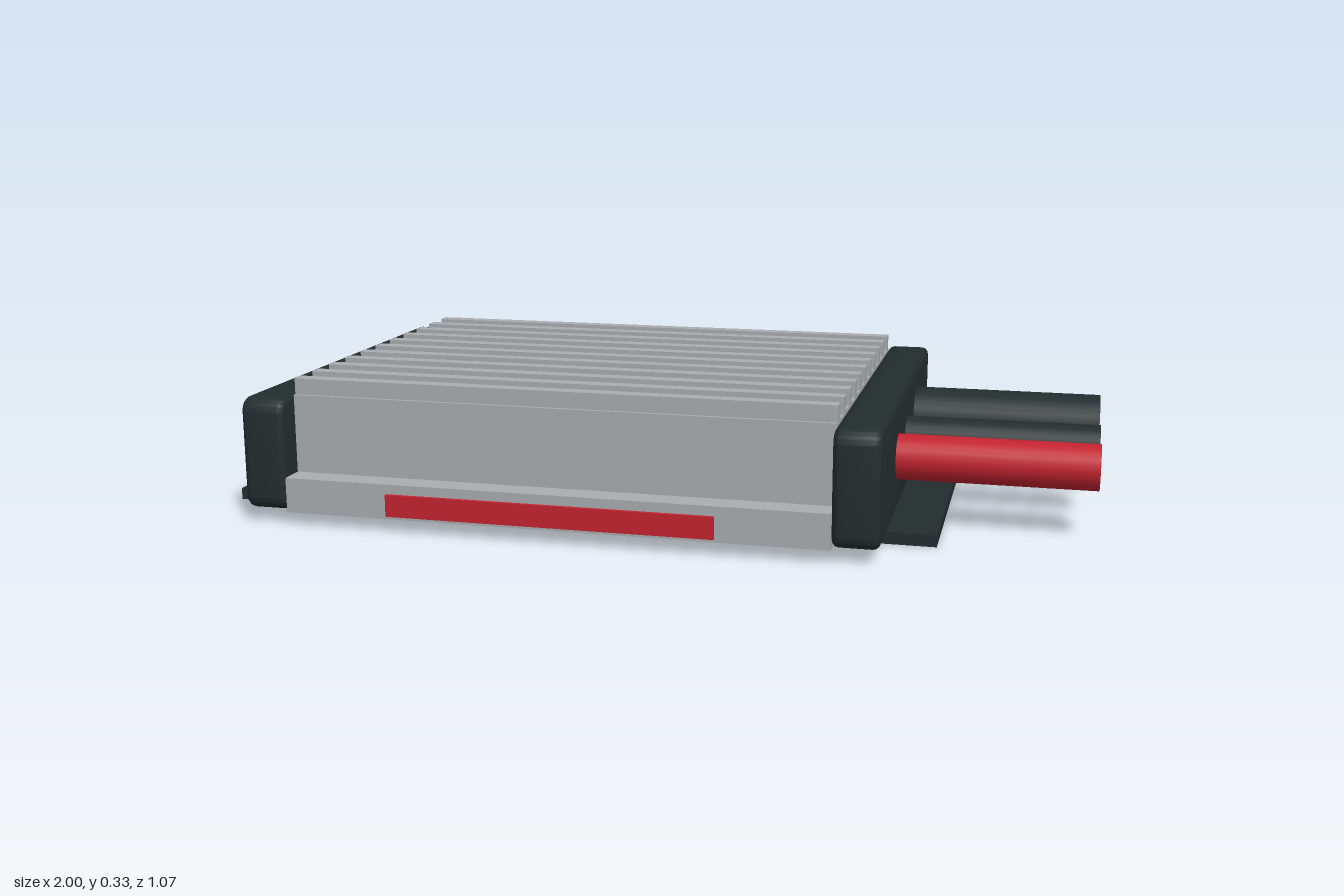
import * as THREE from 'three';
import { toCreasedNormals } from 'three/addons/utils/BufferGeometryUtils.js';

const material = (name, color) => {
  const m = new THREE.MeshStandardMaterial({ color });
  m.name = name;
  return m;
};

export function createModel() {
  const group = new THREE.Group();
  const aluminium = material('aluminium grey', 0xa9adb0);
  const black = material('dark plastic', 0x232d2e);
  const red = material('red', 0xc3232f);
  const midZ = -0.003;

  const add = (name, geometry, mat, x, y, z) => {
    const mesh = new THREE.Mesh(geometry, mat);
    mesh.name = name;
    mesh.position.set(x, y, z);
    group.add(mesh);
    return mesh;
  };
  // Box given by its limits on each axis
  const box = (name, mat, [x0, x1], [y0, y1], [z0, z1]) =>
    add(name, new THREE.BoxGeometry(x1 - x0, y1 - y0, z1 - z0), mat,
      (x0 + x1) / 2, (y0 + y1) / 2, (z0 + z1) / 2);

  // Finned housing on a wider base
  const span = [-0.79, 0.455];
  box('base', aluminium, span, [0.03, 0.11], [midZ - 0.528, midZ + 0.528]);
  box('housing', aluminium, span, [0.11, 0.29], [midZ - 0.467, midZ + 0.467]);
  for (let i = -5; i <= 5; i++) {
    const z = midZ + i * 0.0883;
    box('coolingFin', aluminium, span, [0.29, 0.327], [z - 0.017, z + 0.017]);
  }

  // End caps: rounded rectangle with softened rims
  const bevel = 0.015, w = 0.528 - bevel, h = 0.13 - bevel, r = 0.018;
  const outline = new THREE.Shape();
  outline.absarc(w - r, h - r, r, 0, Math.PI / 2);
  outline.absarc(-w + r, h - r, r, Math.PI / 2, Math.PI);
  outline.absarc(-w + r, -h + r, r, Math.PI, Math.PI * 1.5);
  outline.absarc(w - r, -h + r, r, Math.PI * 1.5, Math.PI * 2);
  outline.closePath();
  const capDepth = 0.102;
  const capGeometry = toCreasedNormals(new THREE.ExtrudeGeometry(outline, {
    depth: capDepth - 2 * bevel, bevelEnabled: true, bevelSize: bevel,
    bevelThickness: bevel, bevelSegments: 3, curveSegments: 4,
  }).translate(0, 0, -capDepth / 2 + bevel).rotateY(Math.PI / 2), 0.7);
  add('endCap', capGeometry, black, -0.842, 0.16, midZ);
  add('endCap', capGeometry, black, 0.505, 0.16, midZ);

  // Mounting feet under the caps
  box('mountingFoot', black, [-1, -0.865], [0, 0.027], [-0.355, 0.349]);
  box('mountingFoot', black, [0.525, 0.662], [0, 0.027], [-0.355, 0.349]);

  // Cables leaving the left end
  const cable = (name, mat, z, radius) => {
    const geometry = new THREE.CylinderGeometry(radius, radius, 0.46, 24).rotateZ(-Math.PI / 2);
    add(name, geometry, mat, 0.77, 0.16, z);
  };
  cable('redCable', red, 0.191, 0.052);
  cable('thinCable', black, -0.002, 0.052);
  cable('thickCable', black, -0.224, 0.078);

  // Label strip on the front of the base
  box('labelStrip', red, [-0.545, 0.205], [0.038, 0.088], [0.525, 0.534]);

  return group;
}
